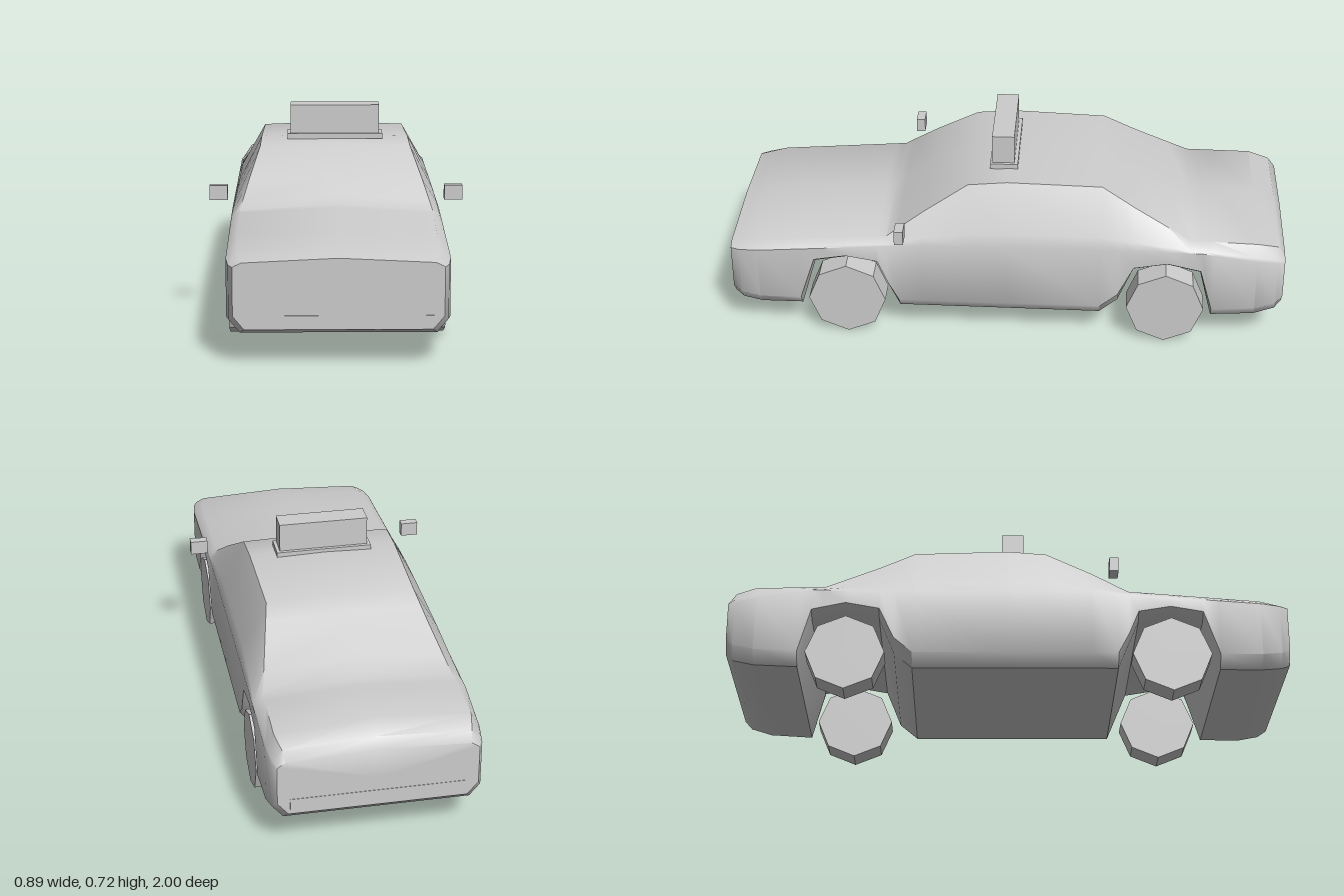
import * as THREE from 'three';
import { toCreasedNormals } from 'three/addons/utils/BufferGeometryUtils.js';

const paint = new THREE.MeshStandardMaterial({ color: 0xcccccc });
paint.name = 'plain grey';

// Straight-line profile through [z, value] points, front to back
function profile(points) {
  return (z) => {
    const i = Math.max(1, points.findIndex((p) => p[0] <= z));
    const [[z0, v0], [z1, v1]] = [points[i - 1], points[i]];
    return v0 + ((v1 - v0) * (z - z0)) / (z1 - z0);
  };
}

// Bonnet, windscreen, roof, rear window and boot along the centre line
const topLine = [
  [1, 0.36], [0.9, 0.38], [0.43, 0.42], [0.39, 0.445], [0.3, 0.5], [0.14, 0.587], [0, 0.6],
  [-0.34, 0.592], [-0.46, 0.53], [-0.66, 0.437], [-0.9, 0.433], [-0.975, 0.405], [-1, 0.37],
];
// Underside with both wheel arches
const underLine = [
  [1, 0.122], [0.97, 0.105], [0.9, 0.095],
  [0.75, 0.095], [0.695, 0.28], [0.58, 0.3], [0.465, 0.28], [0.39, 0.098],
  [-0.34, 0.095], [-0.405, 0.15], [-0.46, 0.285], [-0.58, 0.307], [-0.7, 0.28], [-0.745, 0.097],
  [-0.9, 0.105], [-0.975, 0.125], [-1, 0.15],
];
const topY = profile(topLine);
const underY = profile(underLine);
// Half width of the top, fall of the top to its edge, widest height and half width
const edgeX = profile([[1, 0.315], [0.9, 0.335], [0.43, 0.34], [0.14, 0.273], [-0.34, 0.266], [-0.66, 0.333], [-0.9, 0.336], [-1, 0.315]]);
const edgeFall = profile([[1, 0.015], [0.43, 0.023], [0.14, 0.007], [-0.34, 0.01], [-0.66, 0.027], [-0.9, 0.028], [-1, 0.015]]);
const shoulderY = profile([[1, 0.33], [0.3, 0.38], [-0.7, 0.38], [-1, 0.335]]);
const sideX = profile([[1, 0.345], [0.97, 0.36], [0.9, 0.37], [-0.7, 0.371], [-0.9, 0.367], [-0.975, 0.357], [-1, 0.343]]);

function ring(z) {
  const yTop = topY(z), yUnder = underY(z), xEdge = edgeX(z), xSide = sideX(z), yShoulder = shoulderY(z);
  const yEdge = yTop - edgeFall(z);
  const lip = yUnder > 0.17 ? 0.025 : 0.045;
  const half = [
    [xEdge, yEdge],
    [xEdge + (xSide - xEdge) * 0.85, yEdge + (yShoulder - yEdge) * 0.78],
    [xSide, yShoulder],
    [xSide, yUnder + lip],
    [xSide - 0.037, yUnder],
  ];
  const mirrored = half.map(([x, y]) => [-x, y]).reverse();
  return [[0, yTop], ...half, [0, yUnder], ...mirrored].map(([x, y]) => [x, y, z]);
}

// Shell lofted through every profile point and closed at both ends
function bodyGeometry() {
  const stations = [...new Set([...topLine, ...underLine].map((p) => p[0]))].sort((a, b) => b - a);
  const rings = stations.map(ring);
  const n = rings[0].length;
  const last = rings.length - 1;
  const points = rings.flat();
  const index = [];
  for (let i = 0; i < last; i++) {
    for (let j = 0; j < n; j++) {
      const k = (j + 1) % n;
      const a = i * n + j, b = i * n + k, c = b + n, d = a + n;
      index.push(a, b, c, a, c, d);
    }
  }
  const front = points.push([0, 0.24, 1]) - 1;
  const back = points.push([0, 0.26, -1]) - 1;
  for (let j = 0; j < n; j++) {
    const k = (j + 1) % n;
    index.push(front, k, j, back, last * n + j, last * n + k);
  }
  const geometry = new THREE.BufferGeometry();
  geometry.setAttribute('position', new THREE.Float32BufferAttribute(points.flat(), 3));
  geometry.setIndex(index);
  return toCreasedNormals(geometry, 0.7);
}

export function createModel() {
  const car = new THREE.Group();
  car.name = 'car';

  const add = (name, geometry, x = 0, y = 0, z = 0) => {
    const mesh = new THREE.Mesh(geometry, paint);
    mesh.name = name;
    mesh.position.set(x, y, z);
    car.add(mesh);
  };
  const box = (name, w, h, d, x, y, z) => add(name, new THREE.BoxGeometry(w, h, d), x, y, z);

  add('body', bodyGeometry());

  // Thin bumper strips on both ends
  box('frontBumper', 0.62, 0.046, 0.006, 0, 0.146, 0.9985);
  box('rearBumper', 0.6, 0.046, 0.006, 0, 0.185, -0.9985);

  // Roof sign on its base
  box('signBase', 0.35, 0.02, 0.1, 0, 0.602, 0.017);
  box('roofSign', 0.326, 0.107, 0.08, 0, 0.664, 0.02);

  // Octagonal wheels and side mirrors
  const wheel = toCreasedNormals(new THREE.CylinderGeometry(0.14, 0.14, 0.096, 8).rotateZ(Math.PI / 2), 0.3);
  for (const [side, s] of [['left', 1], ['right', -1]]) {
    add(side + 'FrontWheel', wheel, s * 0.322, 0.14, 0.58);
    add(side + 'RearWheel', wheel, s * 0.322, 0.14, -0.577);
    box(side + 'Mirror', 0.064, 0.052, 0.032, s * 0.415, 0.454, 0.375);
  }
  return car;
}
